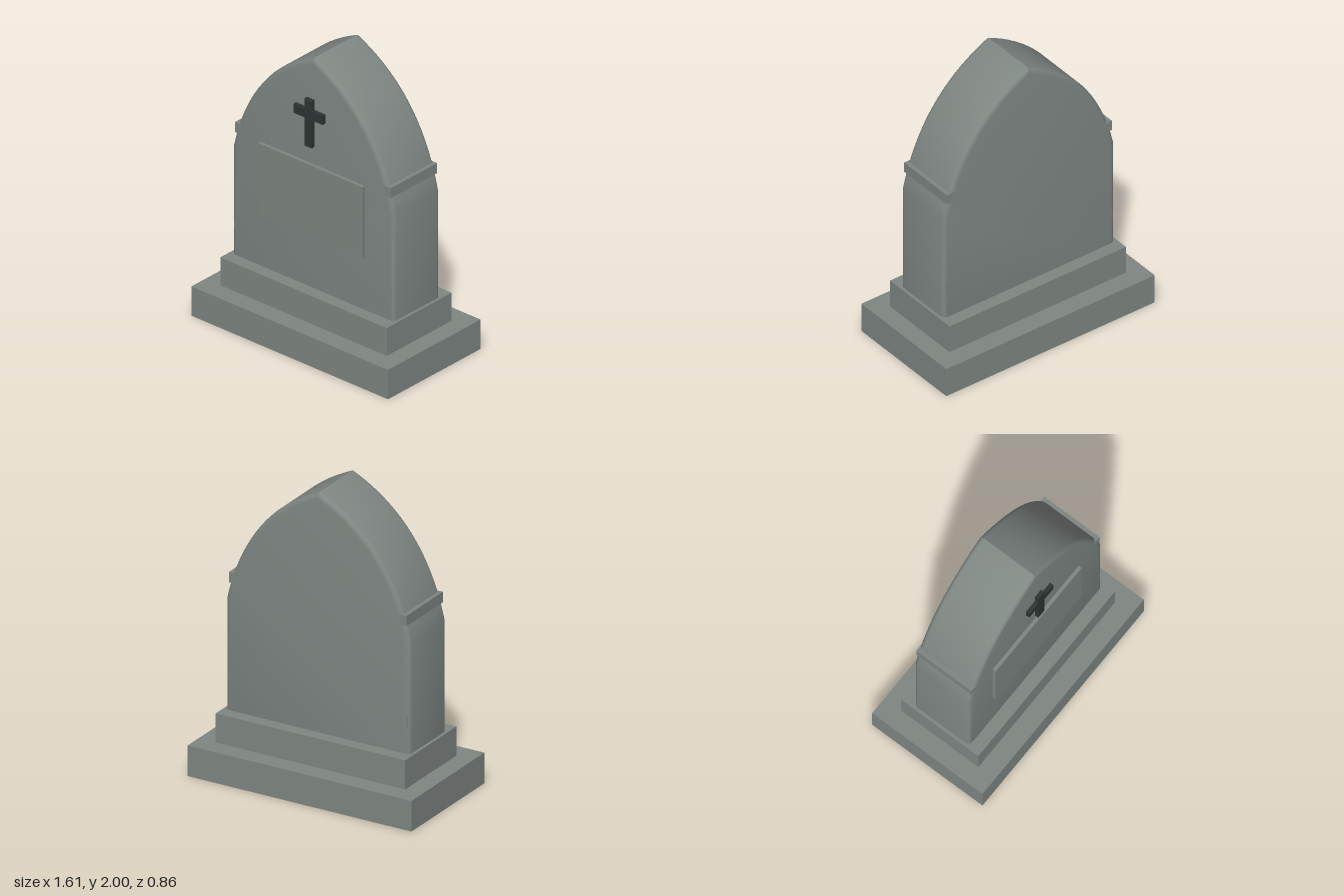
import * as THREE from 'three';
import { toCreasedNormals } from 'three/addons/utils/BufferGeometryUtils.js';

export function createModel() {
  const group = new THREE.Group();
  const stone = new THREE.MeshStandardMaterial({ color: 0x7f8783 });
  stone.name = 'grey stone';
  const iron = new THREE.MeshStandardMaterial({ color: 0x2d3534 });
  iron.name = 'dark iron';

  const add = (name, geometry, material) => {
    const mesh = new THREE.Mesh(geometry, material);
    mesh.name = name;
    group.add(mesh);
    return mesh;
  };
  // Box from half width, bottom, top, back and front
  const block = (name, hx, y0, y1, z0, z1, material = stone) =>
    add(name, new THREE.BoxGeometry(2 * hx, y1 - y0, z1 - z0), material)
      .position.set(0, (y0 + y1) / 2, (z0 + z1) / 2);

  // Stepped foundation
  block('base', 0.803, 0, 0.205, -0.428, 0.428);
  block('plinth', 0.68, 0.205, 0.4, -0.3, 0.3);

  // Pointed-arch slab with rounded edges
  const arch = new THREE.Shape();
  arch.moveTo(-0.66, 0.3);
  arch.lineTo(0.66, 0.3);
  arch.lineTo(0.66, 1.15);
  arch.quadraticCurveTo(0.52, 1.77, 0, 2);
  arch.quadraticCurveTo(-0.52, 1.77, -0.66, 1.15);
  arch.closePath();
  const bevel = 0.03, halfDepth = 0.215;
  const slab = new THREE.ExtrudeGeometry(arch, {
    depth: 2 * (halfDepth - bevel), curveSegments: 18,
    bevelThickness: bevel, bevelSize: bevel, bevelOffset: -bevel, bevelSegments: 3,
  });
  slab.translate(0, 0, bevel - halfDepth);
  add('slab', toCreasedNormals(slab, 0.6), stone);

  // Bands that show at the slab's sides
  block('shoulderBand', 0.637, 1.255, 1.325, -0.2145, 0.2145);
  block('lowerBand', 0.642, 0.58, 0.65, -0.2145, 0.2145);

  // Raised panel on the front
  block('panel', 0.428, 0.768, 1.265, 0.2, 0.238);

  // Cross, one solid outline
  const cross = new THREE.Shape();
  const half = [[0.03, 1.4], [0.03, 1.597], [0.12, 1.597], [0.12, 1.66], [0.03, 1.66], [0.03, 1.73]];
  const mirrored = half.map(([x, y]) => [-x, y]).reverse();
  cross.setFromPoints([...half, ...mirrored].map(([x, y]) => new THREE.Vector2(x, y)));
  const crossGeometry = new THREE.ExtrudeGeometry(cross, { depth: 0.026, bevelEnabled: false });
  add('cross', crossGeometry, iron).position.z = 0.233;

  return group;
}
